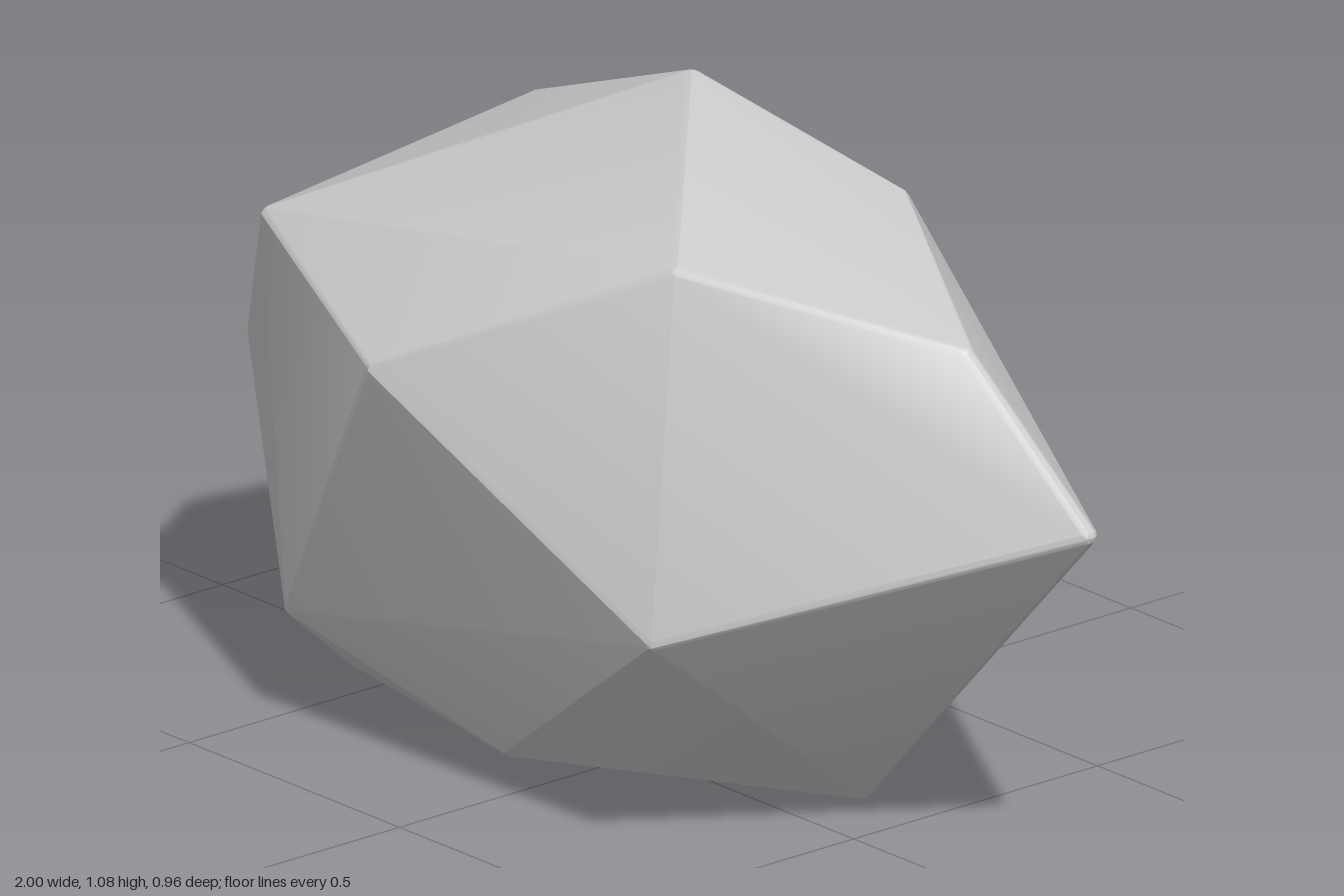
import * as THREE from 'three';
import { ConvexGeometry } from 'three/addons/geometries/ConvexGeometry.js';
import { mergeVertices, toCreasedNormals } from 'three/addons/utils/BufferGeometryUtils.js';

const BEVEL = 0.018;

// Corners of the faceted stone
const CORNERS = [
  // tips
  [-1, 0.41, -0.06], [1, 0.625, -0.06],
  // top
  [-0.06, 1.08, -0.155], [0.38, 0.967, 0.255], [0.78, 0.88, 0], [0.37, 0.98, -0.22],
  [-0.6, 0.855, -0.3], [-0.57, 0.81, 0.29],
  // front
  [-0.1, 0.73, 0.48], [0.48, 0.405, 0.39], [-0.46, 0.19, 0.335], [0, 0.065, 0.28],
  // back
  [0.28, 0.565, -0.48], [-0.52, 0.385, -0.465], [-0.41, 0.1, -0.32],
  // base
  [-0.6, 0, 0.08], [0.38, 0, -0.13],
].map((c) => new THREE.Vector3(...c));

// Distinct directions of a small ball, used to round every corner and edge
function ballOffsets(radius) {
  const ball = new THREE.IcosahedronGeometry(radius, 1);
  ball.deleteAttribute('normal');
  ball.deleteAttribute('uv');
  const pos = mergeVertices(ball).attributes.position;
  return Array.from({ length: pos.count }, (_, i) => new THREE.Vector3().fromBufferAttribute(pos, i));
}

export function createModel() {
  const group = new THREE.Group();
  group.name = 'rock';

  // Pull each corner in by the bevel radius, then wrap the balls in a hull
  const centre = new THREE.Vector3(0, 0.54, 0);
  const offsets = ballOffsets(BEVEL);
  const points = CORNERS.flatMap((corner) => {
    const inner = corner.clone().addScaledVector(centre.clone().sub(corner).normalize(), BEVEL);
    inner.y = Math.max(inner.y, BEVEL);
    return offsets.map((o) => inner.clone().add(o));
  });

  const stone = new THREE.Mesh(
    toCreasedNormals(new ConvexGeometry(points), 0.35),
    new THREE.MeshStandardMaterial({ color: 0xcccccc })
  );
  stone.name = 'stone';
  group.add(stone);
  return group;
}
